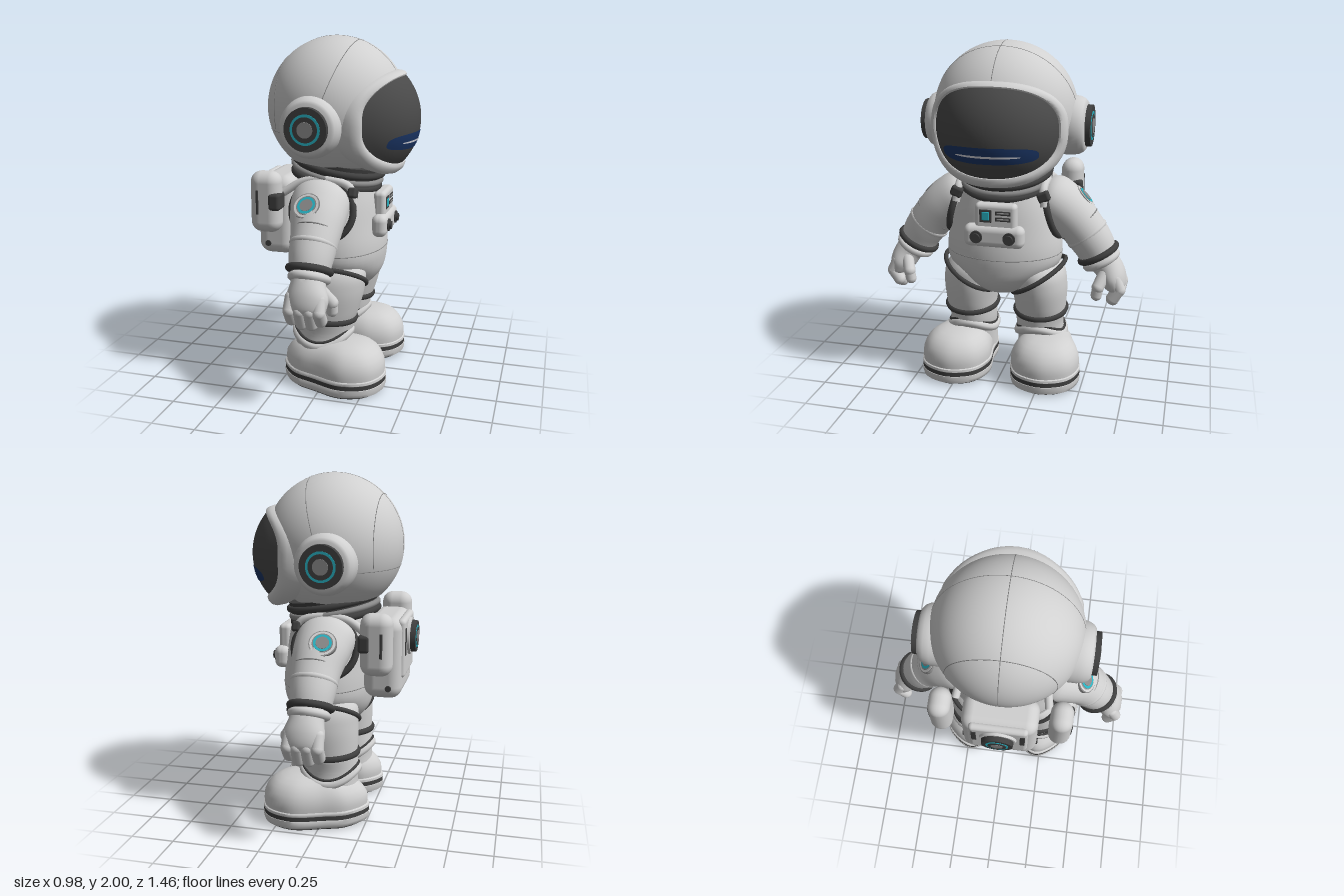
import * as THREE from 'three';
import { toCreasedNormals } from 'three/addons/utils/BufferGeometryUtils.js';
import { RoundedBoxGeometry } from 'three/addons/geometries/RoundedBoxGeometry.js';

const V = (x, y, z) => new THREE.Vector3(x, y, z);
const paint = (name, color) => { const m = new THREE.MeshStandardMaterial({ color }); m.name = name; return m; };

export function createModel() {
  const suit = paint('suit grey', 0xd0d0d0), trim = paint('dark trim', 0x404040), visorMat = paint('visor', 0x4a4a4a);
  const glow = paint('visor blue', 0x1c3768), cyan = paint('cyan light', 0x28b2c2), mid = paint('mid grey', 0x8a8a8a);
  const sole = paint('sole', 0x363636), white = paint('white line', 0xe8e8f0);

  const add = (parent, name, geo, mat, pos) => {
    const m = new THREE.Mesh(geo, mat);
    m.name = name;
    if (pos) m.position.set(...pos);
    parent.add(m);
    return m;
  };
  const group = (parent, name) => { const g = new THREE.Group(); g.name = name; parent.add(g); return g; };

  // Skin over a list of closed rings
  const loft = (rings) => {
    const n = rings[0].length, pos = [], idx = [];
    rings.forEach(r => r.forEach(p => pos.push(p.x, p.y, p.z)));
    for (let i = 0; i < rings.length - 1; i++) for (let j = 0; j < n; j++) {
      const a = i * n + j, b = i * n + (j + 1) % n;
      idx.push(a, a + n, b, b, a + n, b + n);
    }
    const g = new THREE.BufferGeometry();
    g.setAttribute('position', new THREE.Float32BufferAttribute(pos, 3));
    g.setIndex(idx);
    return toCreasedNormals(g, 0.8);
  };
  const ringOf = (n, fn) => Array.from({ length: n }, (_, j) => fn(j / n * Math.PI * 2));
  // Stack of horizontal ellipses [y, cx, hx, cz, hz], smoothed along its height
  const stack = (rows, steps = 24) => {
    const c = new THREE.CatmullRomCurve3(rows.map(r => V(r[0], r[1], r[2])));
    const d = new THREE.CatmullRomCurve3(rows.map(r => V(r[0], r[3], r[4])));
    return loft(Array.from({ length: steps + 1 }, (_, i) => {
      const p = c.getPoint(i / steps), q = d.getPoint(i / steps);
      return ringOf(40, a => V(p.y + p.z * Math.cos(a), p.x, q.y + q.z * Math.sin(a)));
    }));
  };
  // Limb along a path in an upright plane, rows are [x, y, z, radius, depth factor]
  const limb = (rows, steps = 24) => {
    const c = new THREE.CatmullRomCurve3(rows.map(r => V(r[0], r[1], r[2])));
    const w = new THREE.CatmullRomCurve3(rows.map((r, i) => V(i, r[3], r[4])));
    return loft(Array.from({ length: steps + 1 }, (_, i) => {
      const p = c.getPoint(i / steps), s = w.getPoint(i / steps), t = c.getTangent(i / steps);
      const b = t.clone().cross(V(0, 0, 1)).normalize();
      return ringOf(32, a => p.clone().addScaledVector(b, s.y * Math.cos(a)).add(V(0, 0, s.y * s.z * Math.sin(a))));
    }));
  };
  const loop = (fn, r) => new THREE.TubeGeometry(new THREE.CatmullRomCurve3(ringOf(32, fn), true), 72, r, 8, true);
  const facing = (m, from, dir) => { m.quaternion.setFromUnitVectors(from, V(...dir).normalize()); return m; };
  const disc = (p, name, r, h, mat, pos, dir) =>
    facing(add(p, name, new THREE.CylinderGeometry(r * 0.96, r, h, 40), mat, pos), V(0, 1, 0), dir);
  const hoop = (p, name, r, t, mat, pos, dir) =>
    facing(add(p, name, new THREE.TorusGeometry(r, t, 10, 48), mat, pos), V(0, 0, 1), dir);
  const capsule = (p, name, a, b, r) => {
    const d = b.clone().sub(a);
    const m = add(p, name, new THREE.CapsuleGeometry(r, d.length(), 8, 16), suit, a.clone().add(b).multiplyScalar(0.5).toArray());
    return facing(m, V(0, 1, 0), d.toArray());
  };
  const box = (p, name, w, h, d, r, mat, pos) => add(p, name, new RoundedBoxGeometry(w, h, d, 4, r), mat, pos);

  const root = new THREE.Group();
  root.name = 'astronaut';
  const body = group(root, 'body');
  body.rotation.y = Math.PI / 2; // built facing +z, turned to face +x

  // Helmet shell with panel seams
  const helmet = group(body, 'helmet');
  helmet.position.y = 1.6;
  helmet.scale.x = 1.03;
  add(helmet, 'helmetShell', new THREE.SphereGeometry(0.4, 64, 48, 0, Math.PI * 2, 0, 2.56), suit).rotation.x = 0.19;
  const seam = (name, r, arc) => add(helmet, name, new THREE.TorusGeometry(r, 0.0022, 6, 80, arc), mid);
  seam('middleSeam', 0.3993, 2.7).rotation.set(0, -Math.PI / 2, 0.55, 'YXZ');
  seam('crossSeam', 0.3993, Math.PI).rotation.x = 0.33;
  const backSeam = seam('backSeam', 0.285, 3.9);
  backSeam.position.z = -0.28;
  backSeam.rotation.z = -0.38;
  const lowSeam = seam('lowerBackSeam', 0.381, 2.5);
  lowSeam.position.y = -0.12;
  lowSeam.rotation.set(-Math.PI / 2, 0, 0.32);

  // Visor, its blue reflection and the raised frame around it
  const oval = (hx, hy, cy, e) => a => [
    hx * Math.sign(Math.cos(a)) * Math.abs(Math.cos(a)) ** (2 / e), cy + hy * Math.sign(Math.sin(a)) * Math.abs(Math.sin(a)) ** (2 / e)];
  const bulge = (x, y, R) => V(x, y, 0.114 + Math.sqrt(R * R - x * x - (y - 1.54) ** 2));
  const patch = (hx, hy, cy, e, R) => {
    const f = oval(hx, hy, cy, e);
    return loft(Array.from({ length: 15 }, (_, i) => ringOf(72, a => {
      const [x, y] = f(a), s = i / 14;
      return bulge(x * s, cy + (y - cy) * s, R);
    })));
  };
  const face = group(body, 'face');
  add(face, 'visor', patch(0.352, 0.248, 1.54, 2.4, 0.368), visorMat);
  add(face, 'visorGlow', patch(0.265, 0.047, 1.435, 3.2, 0.3715), glow);
  add(face, 'visorGlowLine', patch(0.18, 0.006, 1.43, 3, 0.374), white);
  const frame = oval(0.35, 0.246, 1.54, 2.4);
  const frameSteps = [[0.98, -0.01], [1, 0.006], [1.03, 0.008], [1.07, -0.002], [1.105, -0.025], [1.115, -0.055], [1.09, -0.11], [1, -0.19]];
  add(face, 'visorFrame', loft(frameSteps.map(([s, dz]) => ringOf(72, a => {
    const [x, y] = frame(a), p = bulge(x, y, 0.368), drop = Math.max(0, 1.54 - y) / 0.246;
    return V(x * s, 1.54 + (y - 1.54) * s - (s - 1) * 0.28 * drop, p.z + dz);
  }))), suit);

  // Tilted neck seal
  const neck = group(body, 'neck');
  neck.position.set(0, 1.24, 0.005);
  neck.rotation.x = 0.19;
  add(neck, 'neckSeal', new THREE.CylinderGeometry(0.26, 0.25, 0.13, 48), trim);
  for (const [y, r, t, m] of [[0.025, 0.26, 0.02, trim], [-0.02, 0.255, 0.018, mid], [-0.055, 0.25, 0.022, trim]])
    add(neck, 'neckRing', new THREE.TorusGeometry(r, t, 10, 56), m, [0, y, 0]).rotation.x = Math.PI / 2;

  // Torso
  add(body, 'torso', stack([[0.53, 0, 0.02, 0.03, 0.05], [0.56, 0, 0.14, 0.03, 0.17], [0.64, 0, 0.25, 0.03, 0.24], [0.73, 0, 0.335, 0.03, 0.262],
    [0.82, 0, 0.345, 0.03, 0.265], [0.95, 0, 0.325, 0.025, 0.255], [1.1, 0, 0.29, 0.015, 0.245], [1.2, 0, 0.25, 0.01, 0.22], [1.26, 0, 0.19, 0, 0.19]], 36), suit);
  add(body, 'waistSeam', loop(a => V(0.344 * Math.cos(a), 0.79, 0.03 + 0.265 * Math.sin(a)), 0.0025), mid);

  // Chest control box
  const chest = group(body, 'chestPanel');
  box(chest, 'lowerPanel', 0.35, 0.13, 0.09, 0.04, suit, [0, 0.94, 0.285]);
  box(chest, 'upperPanel', 0.24, 0.16, 0.07, 0.025, suit, [0.01, 1.05, 0.275]);
  box(chest, 'buttonFrame', 0.07, 0.075, 0.012, 0.005, trim, [-0.045, 1.06, 0.308]);
  box(chest, 'button', 0.045, 0.05, 0.012, 0.005, cyan, [-0.045, 1.06, 0.311]);
  for (const y of [1.08, 1.045]) {
    box(chest, 'slot', 0.09, 0.024, 0.01, 0.004, trim, [0.055, y, 0.309]);
    box(chest, 'slotBar', 0.07, 0.01, 0.01, 0.004, mid, [0.055, y, 0.312]);
  }
  for (const x of [-0.095, 0.095]) {
    disc(chest, 'knobBase', 0.037, 0.02, trim, [x, 0.94, 0.328], [0, 0, 1]);
    disc(chest, 'knob', 0.024, 0.03, trim, [x, 0.94, 0.335], [0, 0, 1]);
  }

  // Backpack
  const pack = group(body, 'backpack');
  box(pack, 'packBody', 0.44, 0.47, 0.22, 0.07, suit, [0, 0.975, -0.32]);
  box(pack, 'packPlate', 0.34, 0.34, 0.05, 0.024, suit, [0, 1.03, -0.42]);
  for (const [r, z, m] of [[0.11, -0.445, suit], [0.094, -0.474, trim], [0.068, -0.476, cyan], [0.056, -0.478, trim], [0.036, -0.48, mid]])
    disc(pack, 'packDial', r, 0.03, m, [0, 1.075, z], [0, 0, -1]);

  // Everything that comes in pairs
  for (const side of [1, -1]) {
    const half = group(body, side > 0 ? 'rightHandHalf' : 'leftHandHalf');
    half.scale.x = side;

    // Ear pod
    const ear = group(half, 'earPod');
    ear.position.set(0.34, 1.53, -0.04);
    ear.rotation.z = -Math.PI / 2;
    const cup = [[0.17, 0], [0.17, 0.05], [0.164, 0.085], [0.15, 0.11], [0.135, 0.122], [0.1, 0.125]].map(p => new THREE.Vector2(...p));
    add(ear, 'earCup', new THREE.LatheGeometry(cup, 48), suit);
    for (const [r, h, m] of [[0.125, 0.153, trim], [0.088, 0.155, cyan], [0.073, 0.157, trim], [0.046, 0.16, mid]])
      add(ear, 'earDial', new THREE.CylinderGeometry(r * 0.94, r, h, 40), m, [0, h / 2, 0]);

    // Pack pods, buckles and straps
    box(half, 'packPod', 0.13, 0.35, 0.18, 0.064, suit, [0.345, 1.095, -0.315]);
    box(half, 'podSlot', 0.012, 0.14, 0.016, 0.005, trim, [0.407, 1.1, -0.35]);
    box(half, 'podLink', 0.11, 0.1, 0.07, 0.02, trim, [0.36, 1.105, -0.255]);
    box(half, 'packSlot', 0.03, 0.16, 0.012, 0.005, trim, [0.14, 1.07, -0.442]);
    disc(half, 'packScrew', 0.018, 0.02, trim, [0.217, 0.81, -0.36], [1, 0, 0]);
    const strap = new THREE.CatmullRomCurve3([V(0.27, 1.13, -0.25), V(0.25, 1.2, -0.13), V(0.25, 1.215, 0.03), V(0.25, 1.18, 0.14), V(0.26, 1.09, 0.165)]);
    add(half, 'strap', new THREE.TubeGeometry(strap, 32, 0.024, 10), suit);
    box(half, 'strapBuckle', 0.07, 0.06, 0.05, 0.015, trim, [0.255, 1.15, 0.16]).rotation.z = 0.4;

    // Arm with armhole, badge and cuffs
    const arm = group(half, 'arm');
    add(arm, 'sleeve', limb([[0.2, 1.14, -0.02, 0.07, 1.2], [0.26, 1.11, -0.02, 0.135, 1.2], [0.36, 1.04, -0.01, 0.14, 1.14], [0.45, 0.945, 0, 0.13, 1.06],
      [0.52, 0.85, 0, 0.122, 1.02], [0.56, 0.775, 0, 0.11, 1]]), suit);
    add(arm, 'armhole', loop(a => V(0.285 - 0.045 * Math.sin(a), 1.045 + 0.165 * Math.sin(a), -0.01 + 0.18 * Math.cos(a)), 0.02), trim);
    for (const [r, o, m] of [[0.08, 0, mid], [0.074, 0.002, suit], [0.06, 0.004, mid], [0.053, 0.006, cyan], [0.038, 0.008, mid]])
      disc(arm, 'badge', r, 0.06, m, [0.445 + o * 0.74, 1.097 + o * 0.67, -0.04], [0.74, 0.67, -0.12]);
    hoop(arm, 'elbowSeam', 0.131, 0.004, mid, [0.44, 0.957, 0], [0.68, -0.73, 0]);
    hoop(arm, 'elbowFold', 0.115, 0.018, suit, [0.485, 0.9, 0], [0.6, -0.8, 0]);
    hoop(arm, 'wristBand', 0.113, 0.02, trim, [0.555, 0.785, 0], [0.48, -0.88, 0]);
    hoop(arm, 'gloveCuff', 0.095, 0.024, suit, [0.575, 0.747, 0.005], [0.48, -0.88, 0]);

    // Hand
    const hand = group(half, 'hand');
    add(hand, 'palm', limb([[0.565, 0.765, 0.005, 0.09, 1], [0.61, 0.72, 0.01, 0.085, 1.15], [0.645, 0.66, 0.015, 0.08, 1.45], [0.667, 0.6, 0.015, 0.062, 1.75], [0.67, 0.56, 0.015, 0.01, 3]]), suit);
    [-0.07, -0.014, 0.042, 0.092].forEach((z, i) => {
      const lift = [0.02, 0, 0, 0.025][i];
      capsule(hand, 'knuckle', V(0.665, 0.665, z * 0.95), V(0.695, 0.6, z), 0.036);
      capsule(hand, 'finger', V(0.695, 0.6, z), V(0.655, 0.518 + lift, z), 0.036);
    });
    capsule(hand, 'thumb', V(0.605, 0.69, 0.08), V(0.575, 0.62, 0.13), 0.036);
    capsule(hand, 'thumbTip', V(0.575, 0.62, 0.13), V(0.567, 0.57, 0.13), 0.032);

    // Leg with hip trim and knee band
    const leg = group(half, 'leg');
    add(leg, 'thigh', stack([[0.38, 0.215, 0.148, -0.01, 0.17], [0.45, 0.215, 0.155, 0, 0.185], [0.58, 0.21, 0.165, 0.015, 0.202], [0.68, 0.2, 0.155, 0.02, 0.2], [0.77, 0.18, 0.1, 0.02, 0.14]]), suit);
    add(leg, 'hipTrim', loop(a => V(0.206 + 0.156 * Math.cos(a), 0.627 + 0.1 * Math.cos(a), 0.018 + 0.208 * Math.sin(a)), 0.014), trim);
    add(leg, 'kneeBand', loop(a => V(0.215 + 0.148 * Math.cos(a), 0.405 - 0.01 * Math.sin(a), -0.01 + 0.172 * Math.sin(a)), 0.02), trim);
    add(leg, 'shin', stack([[0.12, 0.22, 0.15, -0.05, 0.15], [0.25, 0.215, 0.142, -0.03, 0.158], [0.32, 0.21, 0.143, -0.02, 0.168], [0.4, 0.215, 0.148, -0.01, 0.172]]), suit);

    // Boot built on one foot outline
    const boot = group(half, 'boot');
    const outline = new THREE.CatmullRomCurve3([[0.485, 0.15], [0.43, 0.3], [0.28, 0.365], [0.13, 0.31], [0.065, 0.17], [0.08, 0], [0.09, -0.16],
      [0.22, -0.26], [0.37, -0.17], [0.43, -0.03]].map(p => V(p[0], 0, p[1])), true).getPoints(64).slice(0, 64);
    const layers = (rows, cz = 0.07) => loft(rows.map(([y, s]) => outline.map(p => V(0.27 + (p.x - 0.27) * s, y, cz + (p.z - cz) * s))));
    add(boot, 'bootUpper', layers([[0.09, 0.96], [0.13, 0.975], [0.17, 0.96], [0.205, 0.9], [0.235, 0.81], [0.258, 0.69], [0.275, 0.53], [0.285, 0.33], [0.288, 0]], 0.12), suit);
    add(boot, 'bootRim', layers([[0.08, 0.97], [0.088, 1], [0.102, 0.995], [0.11, 0.95]]), suit);
    add(boot, 'soleStripe', layers([[0.055, 0.95], [0.06, 0.994], [0.085, 0.994], [0.09, 0.95]]), trim);
    add(boot, 'soleBand', layers([[0.006, 0], [0.006, 0.92], [0.015, 0.98], [0.035, 1], [0.058, 1], [0.064, 0.97]]), suit);
    add(boot, 'tread', layers([[0, 0], [0, 0.9], [0.008, 0.91]]), sole);
    box(boot, 'treadGap', 0.33, 0.004, 0.012, 0.0015, mid, [0.255, 0.002, -0.01]);
    const ankle = (dy, grow) => a => V(0.215 + (0.143 + grow) * Math.cos(a), 0.312 + dy - 0.035 * Math.cos(2 * a), -0.025 + (0.165 + grow) * Math.sin(a));
    add(boot, 'ankleTrim', loop(ankle(0, 0.001), 0.008), trim);
    add(boot, 'ankleCuff', loop(ankle(-0.03, -0.004), 0.026), suit);
  }
  return root;
}
